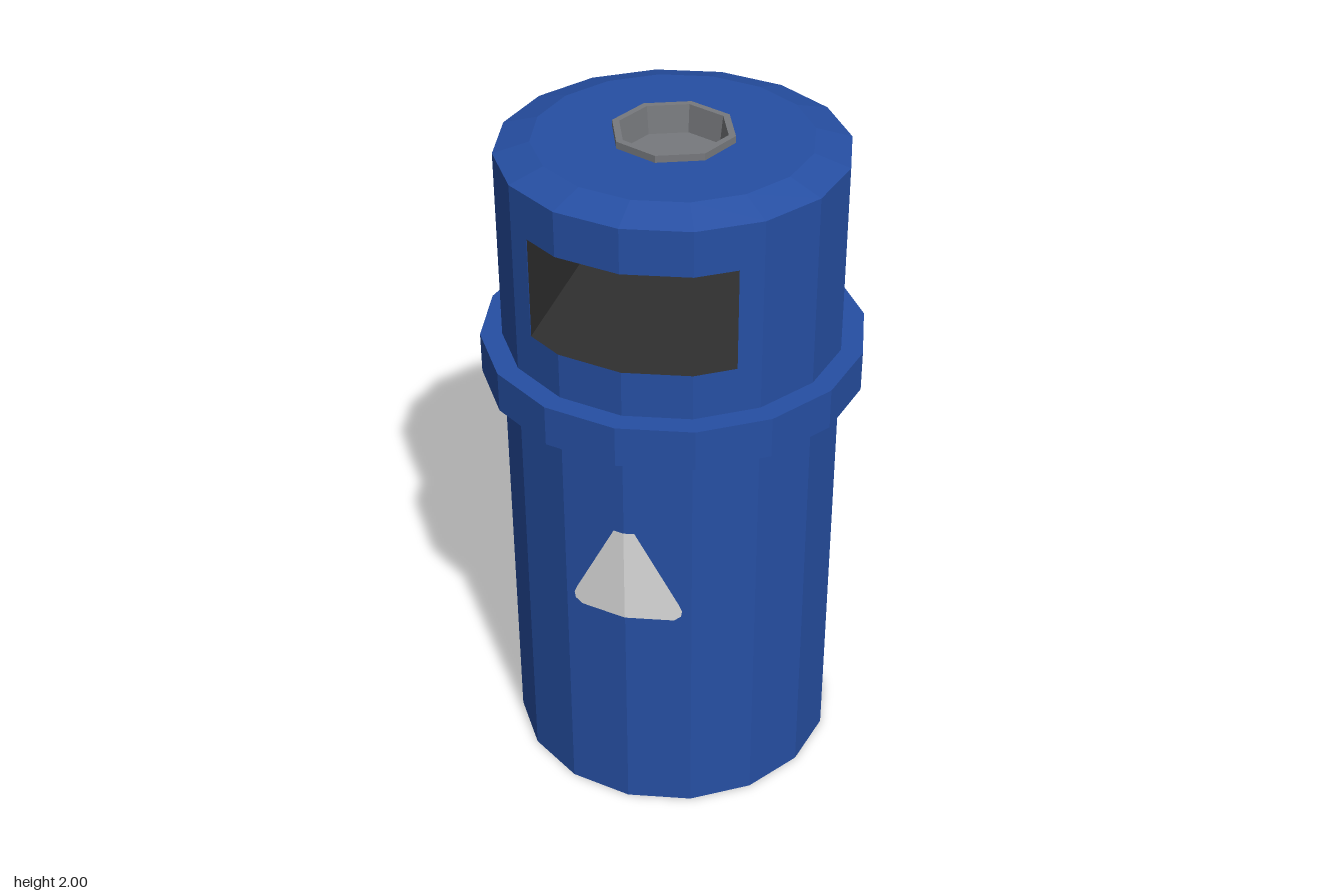
import * as THREE from 'three';

const SIDES = 16;
const R = 0.485;              // body radius
const HOLE = 0.287;           // half width of the opening
const Y0 = 1.525, Y1 = 1.82;  // bottom and top of the opening

const mat = (name, color) => {
  const m = new THREE.MeshStandardMaterial({ color });
  m.name = name;
  return m;
};

// Give every facet its own normal for the low-poly look
function faceted(geometry) {
  const g = geometry.index ? geometry.toNonIndexed() : geometry;
  g.computeVertexNormals();
  return g;
}

const lathe = (points, sides) =>
  faceted(new THREE.LatheGeometry(points.map(([x, y]) => new THREE.Vector2(x, y)), sides));

export function createModel() {
  const group = new THREE.Group();
  const blue = mat('blue paint', 0x264fa3);
  const dark = mat('dark interior', 0x2f2f2f);
  const grey = mat('grey metal', 0x77797d);
  const white = mat('white label', 0xdcdcdc);

  const add = (name, geometry, material) => {
    const mesh = new THREE.Mesh(geometry, material);
    mesh.name = name;
    group.add(mesh);
    return mesh;
  };

  // Lower body, with the floor of the opening as its dark top
  const body = faceted(new THREE.CylinderGeometry(R, R, Y0, SIDES));
  add('body', body, [blue, dark, blue]).position.y = Y0 / 2;

  // Collar round the body
  add('collar', lathe([[0.48, 1.27], [0.547, 1.27], [0.547, 1.39], [0.48, 1.39]], SIDES), blue);

  // Bevelled lid above the opening, and its dark underside
  add('lid', lathe([[R, Y1], [R, 1.95], [0.385, 1.98], [0.155, 1.98]], SIDES), blue);
  const ceiling = add('openingCeiling', new THREE.CircleGeometry(R, SIDES), dark);
  ceiling.rotation.x = Math.PI / 2;
  ceiling.position.y = Y1;

  // Side pillars left over where the opening cuts straight through
  const corner = (i) => {
    const a = (i * 2 * Math.PI) / SIDES;
    return new THREE.Vector2(R * Math.cos(a), R * Math.sin(a));
  };
  const inner = corner(2), outer = corner(3);
  const cutZ = THREE.MathUtils.mapLinear(HOLE, inner.x, outer.x, inner.y, outer.y);
  for (const side of [1, -1]) {
    const outline = [new THREE.Vector2(HOLE, -cutZ)];
    for (let i = -2; i <= 2; i++) outline.push(corner(i));
    outline.push(new THREE.Vector2(HOLE, cutZ));
    const pillar = new THREE.ExtrudeGeometry(new THREE.Shape(outline), { depth: Y1 - Y0, bevelEnabled: false });
    pillar.rotateX(-Math.PI / 2);
    if (side < 0) pillar.rotateY(Math.PI);
    pillar.translate(0, Y0, 0);
    const name = side > 0 ? 'left' : 'right';
    add(name + 'Pillar', pillar, blue);

    const liner = add(name + 'OpeningWall', new THREE.PlaneGeometry(2 * cutZ, Y1 - Y0), dark);
    liner.rotation.y = -side * Math.PI / 2;
    liner.position.set(side * (HOLE - 0.002), (Y0 + Y1) / 2, 0);
  }

  // Eight-sided ash tray sunk into the lid
  add('ashTray', lathe([[0.172, 1.975], [0.172, 2], [0.152, 2], [0.143, 1.92], [0, 1.92]], 8), grey);

  // Rounded triangle labels, folded along the middle edge of the body
  const half = [[0.03, 1], [0.152, 0.755], [0.16, 0.735], [0.157, 0.715], [0.137, 0.7]];
  const shape = new THREE.Shape();
  shape.moveTo(0, 0.7);
  [...half].reverse().forEach(([x, y]) => shape.lineTo(x, y));
  shape.lineTo(0, 1);
  const slope = Math.tan(Math.PI / SIDES);
  for (const [name, turn] of [['frontLabel', 0], ['backLabel', Math.PI]]) {
    const label = new THREE.Group();
    label.name = name;
    for (const side of [1, -1]) {
      const g = new THREE.ShapeGeometry(shape);
      const p = g.attributes.position;
      for (let i = 0; i < p.count; i++) {
        const x = p.getX(i);
        p.setXYZ(i, side * x, p.getY(i), R + 0.003 - x * slope);
      }
      // Mirroring flips the faces, so turn them back
      if (side < 0) g.setIndex([...g.index.array].reverse());
      g.computeVertexNormals();
      const mesh = new THREE.Mesh(g, white);
      mesh.name = name + (side > 0 ? 'LeftHalf' : 'RightHalf');
      label.add(mesh);
    }
    label.rotation.y = turn;
    group.add(label);
  }

  return group;
}
